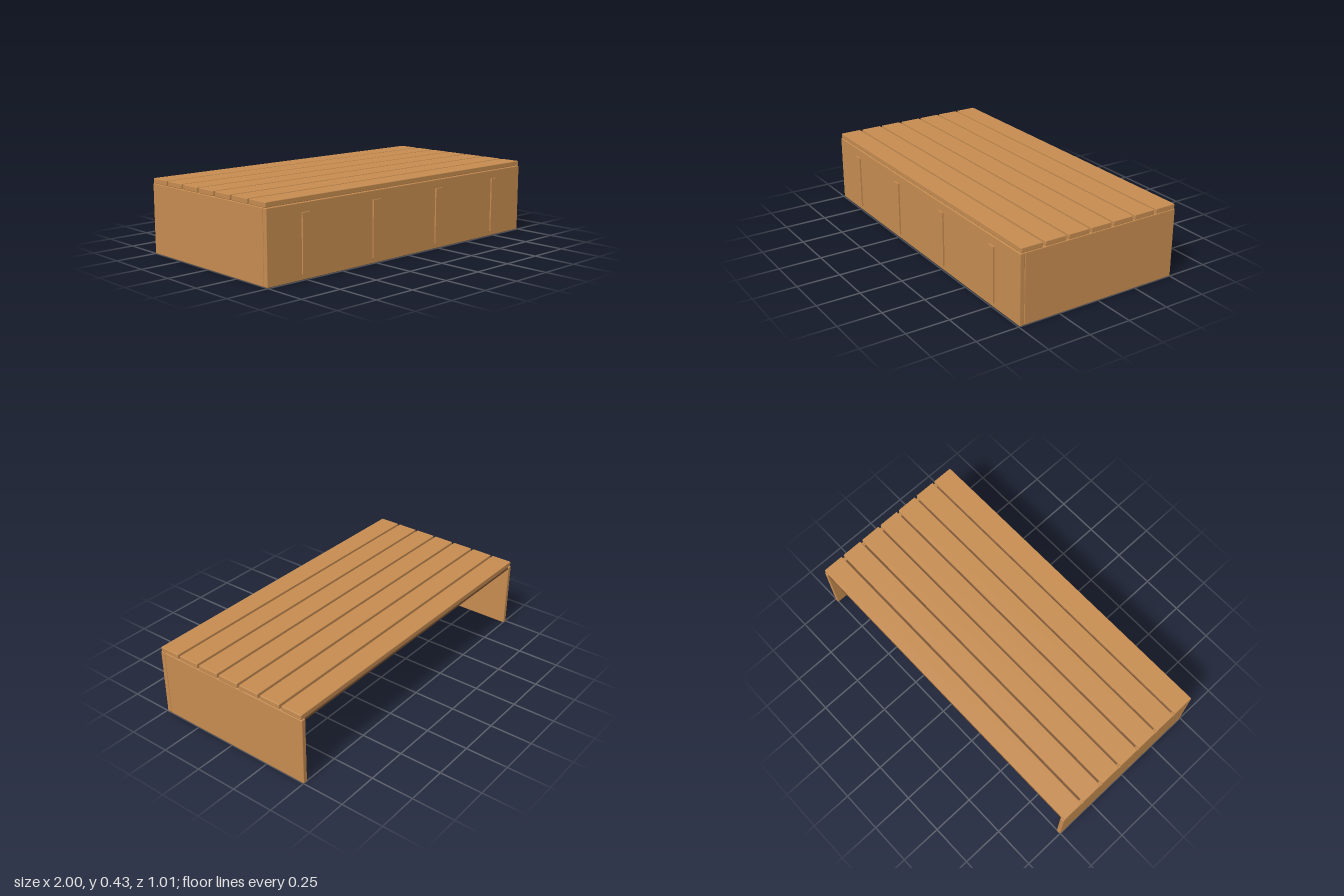
import * as THREE from 'three';
import { RoundedBoxGeometry } from 'three/addons/geometries/RoundedBoxGeometry.js';

export function createModel() {
  const model = new THREE.Group();
  model.name = 'slattedPlatform';
  const wood = new THREE.MeshStandardMaterial({ color: 0xc68c50 });
  wood.name = 'warm wood';
  const darkWood = new THREE.MeshStandardMaterial({ color: 0x744f31 });
  darkWood.name = 'dark wood';

  // board given by its lower and upper limits on each axis, with slightly eased edges
  function board(name, [x0, x1], [y0, y1], [z0, z1], ease = 0.004, material = wood) {
    const size = [x1 - x0, y1 - y0, z1 - z0];
    const geometry = ease ? new RoundedBoxGeometry(...size, 1, ease) : new THREE.BoxGeometry(...size);
    const mesh = new THREE.Mesh(geometry, material);
    mesh.name = name;
    mesh.position.set((x0 + x1) / 2, (y0 + y1) / 2, (z0 + z1) / 2);
    model.add(mesh);
  }

  // carcass: front and two sides, open at the back and below
  board('frontPanel', [-1, 1], [0, 0.4], [0.467, 0.495]);
  board('leftPanel', [0.973, 1], [0, 0.4], [-0.503, 0.466]);
  board('rightPanel', [-1, -0.973], [0, 0.4], [-0.503, 0.466]);

  // thin dark deck closing the gaps beneath the slats
  board('deckPanel', [-0.974, 0.974], [0.387, 0.399], [-0.498, 0.466], 0, darkWood);

  // seven slats on top
  for (let i = 0; i < 7; i++) {
    const front = 0.489 - i * 0.143;
    board('topSlat' + (i + 1), [-1, 1], [0.401, 0.43], [front - 0.129, front]);
  }

  // upright battens on the front
  [-0.75, -0.25, 0.25, 0.75].forEach((x, i) =>
    board('frontBatten' + (i + 1), [x - 0.025, x + 0.025], [0.03, 0.35], [0.494, 0.504], 0));

  return model;
}
